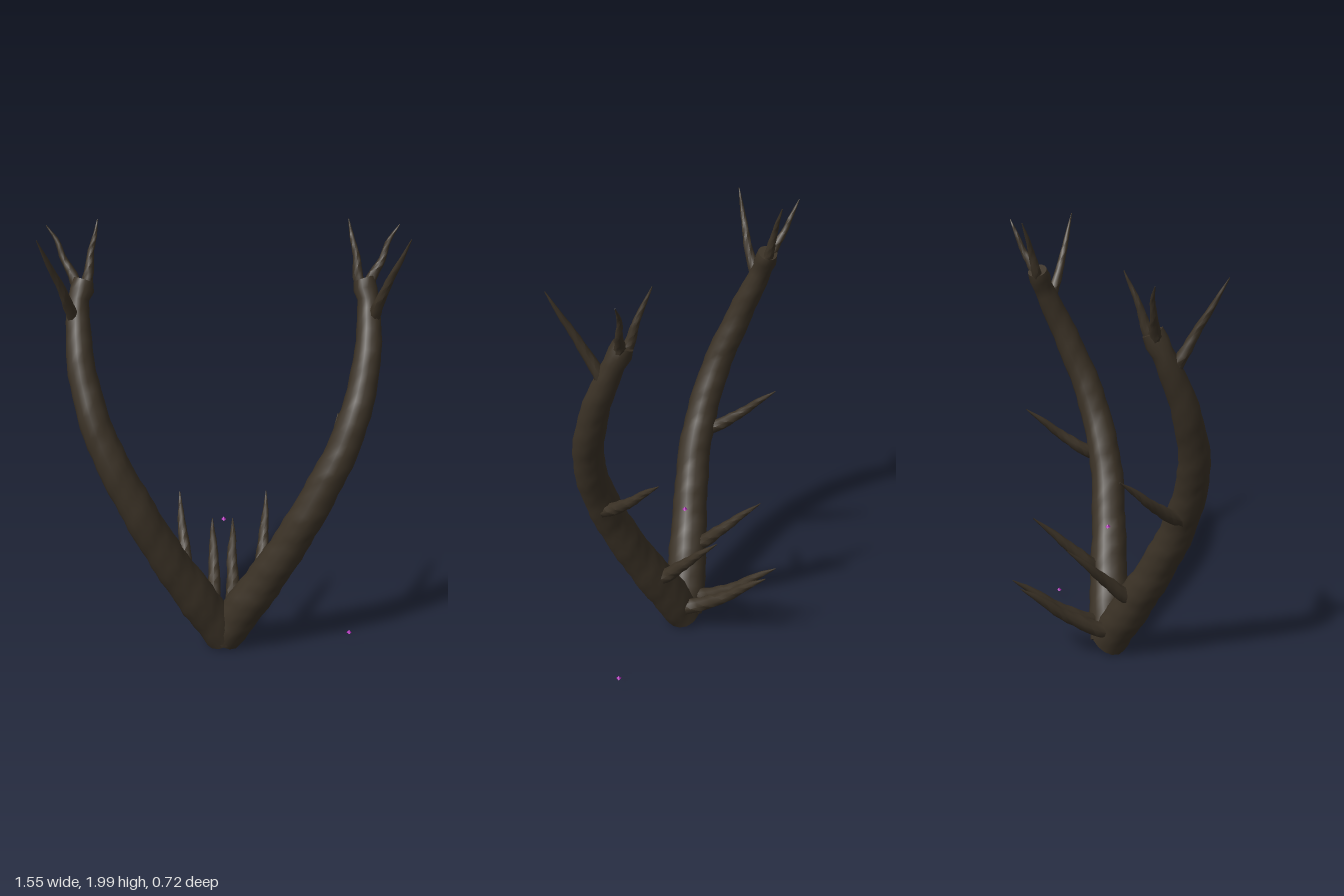
import * as THREE from 'three';
import { toCreasedNormals } from 'three/addons/utils/BufferGeometryUtils.js';

const antlerBrown = new THREE.MeshStandardMaterial({ color: 0x3b3226 });
antlerBrown.name = 'antlerBrown';
const markerPurple = new THREE.MeshStandardMaterial({ color: 0xb010b8 });
markerPurple.name = 'markerPurple';

// Tapered, slightly knobbly branch through points [x, y, z, radius]; both ends are closed.
function branch(name, side, points, segments, sides, knob) {
  const curve = new THREE.CatmullRomCurve3(points.map(([x, y, z]) => new THREE.Vector3(x * side, y, z)));
  const geo = new THREE.TubeGeometry(curve, segments, 1, sides);
  const pos = geo.attributes.position;
  const v = new THREE.Vector3();
  for (let i = 0; i <= segments; i++) {
    // the outermost rings collapse to the centres of their neighbours, forming caps
    const capped = i === 0 || i === segments;
    const ring = THREE.MathUtils.clamp(i, 1, segments - 1);
    const u = (ring - 1) / (segments - 2);
    const f = curve.getUtoTmapping(u) * (points.length - 1);
    const k = Math.min(Math.floor(f), points.length - 2);
    const r = THREE.MathUtils.lerp(points[k][3], points[k + 1][3], f - k);
    const source = curve.getPointAt(i / segments);
    const centre = curve.getPointAt(u);
    for (let j = 0; j <= sides; j++) {
      const a = (j % sides) / sides * Math.PI * 2;
      const bump = 1 + knob * Math.sin(ring * 1.9 + 2 * a) * Math.cos(ring * 0.8 + a);
      const n = i * (sides + 1) + j;
      v.fromBufferAttribute(pos, n).sub(source).multiplyScalar(capped ? 0 : r * bump).add(centre);
      pos.setXYZ(n, v.x, v.y, v.z);
    }
  }
  const mesh = new THREE.Mesh(toCreasedNormals(geo, 0.9), antlerBrown);
  mesh.name = name;
  return mesh;
}

const beam = [
  [0, 0.055, 0.112, 0.09], [0.12, 0.27, 0.165, 0.094], [0.25, 0.505, 0.225, 0.084],
  [0.395, 0.8, 0.275, 0.078], [0.54, 1.12, 0.256, 0.07], [0.615, 1.39, 0.17, 0.062],
  [0.632, 1.58, 0.088, 0.053], [0.628, 1.68, 0.04, 0.045], [0.615, 1.72, 0.022, 0.054],
  [0.61, 1.755, 0.01, 0.046],
];

const tines = {
  browTine: [[0.06, 0.13, 0.1, 0.042], [0.048, 0.17, 0.0, 0.036], [0.045, 0.255, -0.13, 0.028],
    [0.045, 0.33, -0.22, 0.023], [0.05, 0.39, -0.29, 0.014], [0.05, 0.443, -0.36, 0.002]],
  lowerTine: [[0.18, 0.34, 0.16, 0.036], [0.176, 0.39, 0.09, 0.034], [0.187, 0.49, -0.01, 0.025],
    [0.2, 0.58, -0.1, 0.016], [0.207, 0.665, -0.19, 0.002]],
  upperTine: [[0.455, 0.84, 0.25, 0.033], [0.475, 0.89, 0.16, 0.029], [0.505, 0.97, 0.06, 0.021],
    [0.515, 1.04, -0.02, 0.014], [0.53, 1.097, -0.09, 0.002]],
  crownFrontTine: [[0.642, 1.57, 0.08, 0.03], [0.66, 1.65, 0.115, 0.026], [0.69, 1.76, 0.165, 0.019],
    [0.735, 1.88, 0.215, 0.012], [0.772, 1.985, 0.258, 0.002]],
  crownOuterTine: [[0.625, 1.69, 0.03, 0.028], [0.65, 1.765, 0.0, 0.023], [0.695, 1.84, -0.028, 0.015],
    [0.72, 1.91, -0.05, 0.011], [0.768, 1.98, -0.064, 0.002]],
  crownInnerTine: [[0.605, 1.7, 0.02, 0.028], [0.588, 1.77, -0.01, 0.023], [0.578, 1.86, -0.035, 0.015],
    [0.56, 1.93, -0.062, 0.01], [0.547, 2.0, -0.09, 0.002]],
};

export function createModel() {
  const model = new THREE.Group();
  model.name = 'antlers';
  for (const side of [1, -1]) {
    const antler = new THREE.Group();
    antler.name = side > 0 ? 'leftAntler' : 'rightAntler';
    antler.add(branch('mainBeam', side, beam, 44, 14, 0.05));
    for (const [name, points] of Object.entries(tines)) {
      antler.add(branch(name, side, points, 16, 8, 0.12));
    }
    model.add(antler);
  }
  // tiny attachment markers
  for (const [x, y] of [[0, 0.657], [0.597, 0.06]]) {
    const marker = new THREE.Mesh(new THREE.ConeGeometry(0.014, 0.016, 3), markerPurple);
    marker.name = 'attachmentMarker';
    marker.position.set(x, y, 0.103);
    model.add(marker);
  }
  return model;
}
